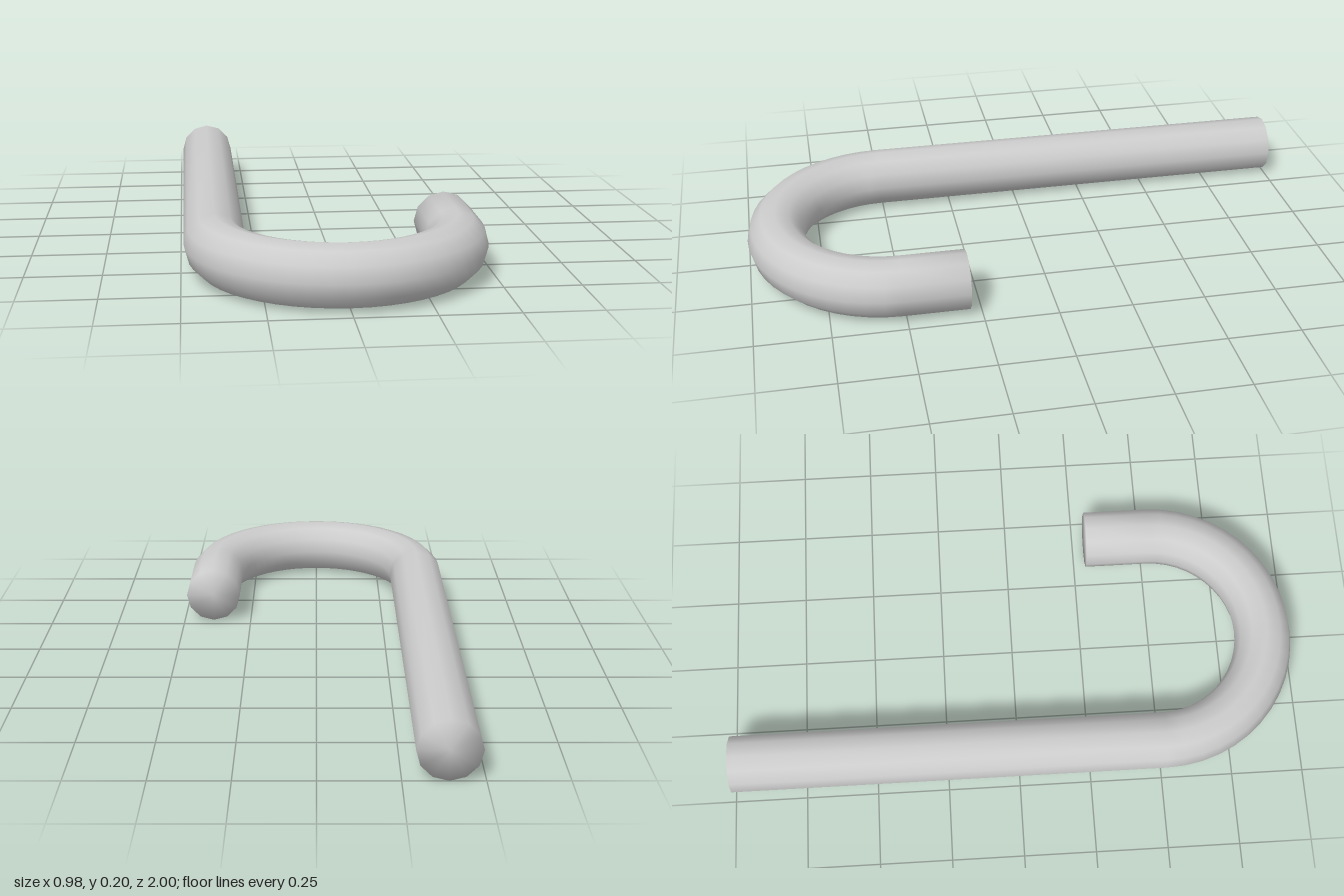
import * as THREE from 'three';

const SIDES = 12, BEND_STEPS = 24;
const ROD = 0.1, BEND = 0.39, BEND_Z = 0.51;

// Sweeps a round rod through sections { x, z, angle }, where angle is the outward direction of the bend.
function sweepRod(sections) {
  const positions = [], index = [];
  for (const { x, z, angle } of sections) {
    for (let j = 0; j < SIDES; j++) {
      const a = (j / SIDES) * Math.PI * 2;
      const out = ROD * Math.cos(a);
      positions.push(x + out * Math.cos(angle), ROD + ROD * Math.sin(a), z + out * Math.sin(angle));
    }
  }

  // Wall between neighbouring sections
  for (let i = 0; i < sections.length - 1; i++) {
    for (let j = 0; j < SIDES; j++) {
      const k = (j + 1) % SIDES;
      const a = i * SIDES + j, b = i * SIDES + k;
      index.push(a, a + SIDES, b, b, a + SIDES, b + SIDES);
    }
  }

  // Flat ends share the wall's vertices, so shading rolls softly over the rims
  const last = (sections.length - 1) * SIDES;
  const first = sections[0], end = sections[sections.length - 1];
  const centre = sections.length * SIDES;
  positions.push(first.x, ROD, first.z, end.x, ROD, end.z);
  for (let j = 0; j < SIDES; j++) {
    const k = (j + 1) % SIDES;
    index.push(centre, j, k, centre + 1, last + k, last + j);
  }

  const geometry = new THREE.BufferGeometry();
  geometry.setAttribute('position', new THREE.Float32BufferAttribute(positions, 3));
  geometry.setIndex(index);
  geometry.computeVertexNormals();
  return geometry;
}

export function createModel() {
  const group = new THREE.Group();
  group.name = 'hook';

  // Long shank, half-circle bend, short tip
  const sections = [{ x: -BEND, z: -1, angle: Math.PI }];
  for (let i = 0; i <= BEND_STEPS; i++) {
    const angle = Math.PI * (1 - i / BEND_STEPS);
    sections.push({ x: BEND * Math.cos(angle), z: BEND_Z + BEND * Math.sin(angle), angle });
  }
  sections.push({ x: BEND, z: 0.29, angle: 0 });

  const rod = new THREE.Mesh(sweepRod(sections), new THREE.MeshStandardMaterial({ color: 0xcccccc }));
  rod.name = 'hookRod';
  group.add(rod);
  return group;
}
